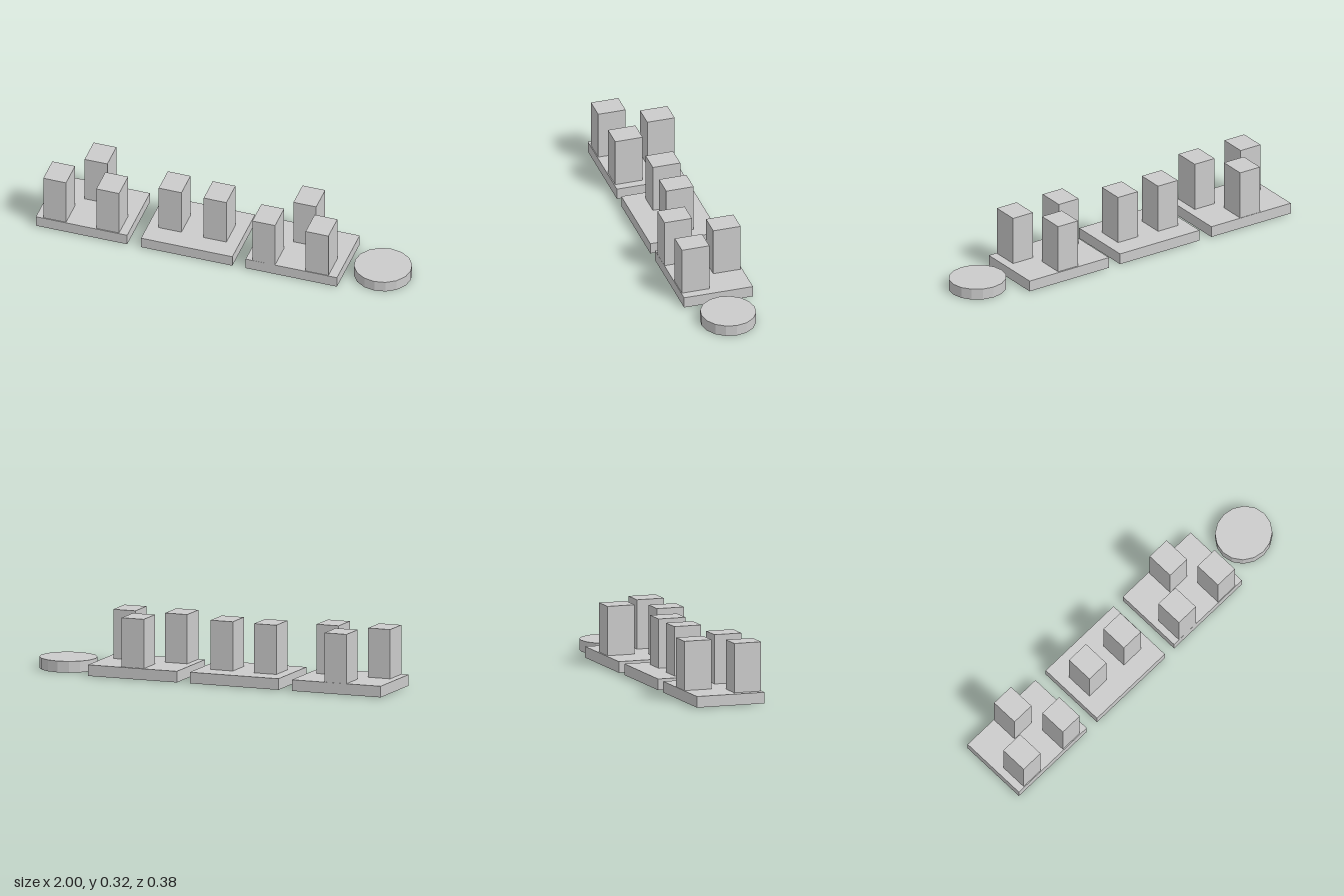
import * as THREE from 'three';

const material = new THREE.MeshStandardMaterial({ color: 0xcccccc, flatShading: true });

function addBox(parent, name, [w, h, d], [x, y, z]) {
  const mesh = new THREE.Mesh(new THREE.BoxGeometry(w, h, d), material);
  mesh.name = name;
  mesh.position.set(x, y + h / 2, z); // y is the underside
  parent.add(mesh);
}

// Each plate: centre x, centre z and the [x, z] centres of its blocks
const PLATES = [
  { name: 'rightPlatform', x: -0.75, z: 0.001, blocks: [[-0.899, 0.11], [-0.745, -0.11], [-0.608, 0.109]] },
  { name: 'middlePlatform', x: -0.172, z: 0.001, blocks: [[-0.301, 0], [-0.052, 0.006]] },
  { name: 'leftPlatform', x: 0.402, z: -0.002, blocks: [[0.25, 0.111], [0.404, -0.107], [0.542, 0.108]] },
];

export function createModel() {
  const model = new THREE.Group();
  model.name = 'blocksOnPlatforms';

  // Flat platforms with upright blocks
  for (const { name, x, z, blocks } of PLATES) {
    const group = new THREE.Group();
    group.name = name;
    addBox(group, 'plate', [0.502, 0.059, 0.377], [x, 0.003, z]);
    blocks.forEach(([bx, bz], i) => {
      addBox(group, `block${i + 1}`, [0.125, 0.261, 0.15], [bx, 0.062, bz]);
    });
    model.add(group);
  }

  // Slightly oval sixteen-sided disc beside the platforms
  const disc = new THREE.Mesh(new THREE.CylinderGeometry(1, 1, 0.06, 16), material);
  disc.name = 'disc';
  disc.scale.set(0.153, 1, 0.146);
  disc.position.set(0.847, 0.03, 0.007);
  model.add(disc);

  return model;
}
